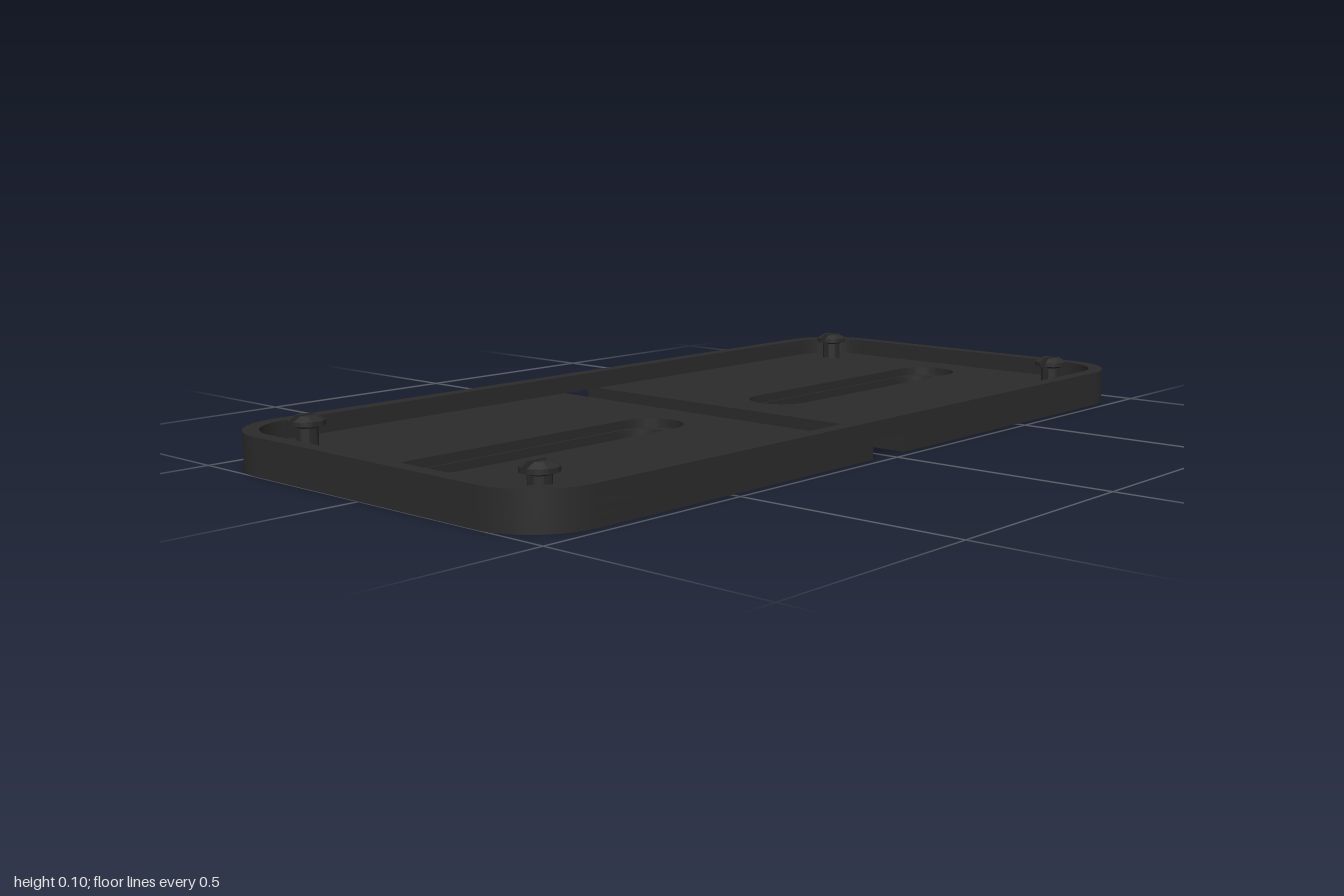
import * as THREE from 'three';
import { toCreasedNormals } from 'three/addons/utils/BufferGeometryUtils.js';

const HALF_X = 1, HALF_Z = 0.478, CORNER = 0.15, WALL = 0.033;
const GAP = 0.055, FLOOR = 0.04, LEDGE = 0.02, TOP = 0.08;

// Rounded rectangle, traced on a Shape or Path
function roundedRect(path, hx, hz, r) {
  path.moveTo(hx, -hz + r);
  path.lineTo(hx, hz - r);
  path.absarc(hx - r, hz - r, r, 0, Math.PI / 2);
  path.lineTo(-hx + r, hz);
  path.absarc(-hx + r, hz - r, r, Math.PI / 2, Math.PI);
  path.lineTo(-hx, -hz + r);
  path.absarc(-hx + r, -hz + r, r, Math.PI, Math.PI * 1.5);
  path.lineTo(hx - r, -hz);
  path.absarc(hx - r, -hz + r, r, Math.PI * 1.5, Math.PI * 2);
  return path;
}

// One half of the plate outline, with a long round-ended slot
function halfPlate(slotStart, slotEnd, slotRadius) {
  const s = new THREE.Shape();
  s.moveTo(GAP, -HALF_Z);
  s.lineTo(HALF_X - CORNER, -HALF_Z);
  s.absarc(HALF_X - CORNER, -HALF_Z + CORNER, CORNER, -Math.PI / 2, 0);
  s.lineTo(HALF_X, HALF_Z - CORNER);
  s.absarc(HALF_X - CORNER, HALF_Z - CORNER, CORNER, 0, Math.PI / 2);
  s.lineTo(GAP, HALF_Z);
  s.closePath();
  const hole = new THREE.Path();
  const a = slotStart + slotRadius, b = slotEnd - slotRadius;
  hole.moveTo(a, -slotRadius);
  hole.lineTo(b, -slotRadius);
  hole.absarc(b, 0, slotRadius, -Math.PI / 2, Math.PI / 2);
  hole.lineTo(a, slotRadius);
  hole.absarc(a, 0, slotRadius, Math.PI / 2, Math.PI * 1.5);
  s.holes.push(hole);
  return s;
}

// Stands a flat outline up as a slab between two heights
function slab(shape, y0, y1) {
  const g = new THREE.ExtrudeGeometry(shape, { depth: y1 - y0, bevelEnabled: false, curveSegments: 16 });
  g.rotateX(-Math.PI / 2).translate(0, y0, 0);
  return toCreasedNormals(g, 0.5);
}

export function createModel() {
  const model = new THREE.Group();
  model.name = 'mountingPlate';
  const plastic = new THREE.MeshStandardMaterial({ color: 0x2b2b2b });
  plastic.name = 'blackPlastic';

  const add = (parent, geometry, name) => {
    const mesh = new THREE.Mesh(geometry, plastic);
    mesh.name = name;
    parent.add(mesh);
    return mesh;
  };

  // Raised rim, bridging the centre gap
  const rim = roundedRect(new THREE.Shape(), HALF_X, HALF_Z, CORNER);
  rim.holes.push(roundedRect(new THREE.Path(), HALF_X - WALL, HALF_Z - WALL, CORNER - WALL));
  add(model, slab(rim, FLOOR, TOP), 'rim');

  // Two floor halves; each slot is recessed around its ends
  const lower = slab(halfPlate(0.18, 0.86, 0.07), 0, LEDGE);
  const upper = slab(halfPlate(0.15, 0.89, 0.075), LEDGE, FLOOR);
  for (const side of ['left', 'right']) {
    const half = new THREE.Group();
    half.name = side + 'Floor';
    half.rotation.y = side === 'left' ? 0 : Math.PI;
    add(half, lower, 'slottedBase');
    add(half, upper, 'slotRecess');
    model.add(half);
  }

  // Split snap pin: half a turned profile, cut flat beside the split
  const split = 0.0075;
  const profile = [
    [0.023, FLOOR], [0.023, 0.08], [0.038, 0.085], [0.038, 0.095], [0.021, 0.105], [0, 0.105],
  ].map(([r, y]) => new THREE.Vector2(r, y));
  const turned = new THREE.LatheGeometry(profile, 24, -Math.PI / 2, Math.PI);
  const pos = turned.attributes.position;
  for (let i = 0; i < pos.count; i++) pos.setZ(i, Math.max(pos.getZ(i), split));
  const prong = toCreasedNormals(turned, 0.4);
  const mirrored = profile.slice(0, -1).reverse().map((p) => new THREE.Vector2(-p.x, p.y));
  const flat = new THREE.ShapeGeometry(new THREE.Shape([...profile.slice(0, -1), ...mirrored]));
  flat.rotateY(Math.PI).translate(0, 0, split);

  for (const x of [-0.865, 0.865]) {
    for (const z of [-0.347, 0.347]) {
      const pin = new THREE.Group();
      pin.name = 'snapPin';
      pin.position.set(x, 0, z);
      for (const turn of [0, Math.PI]) {
        add(pin, prong, 'prong').rotation.y = turn;
        add(pin, flat, 'prongFlat').rotation.y = turn;
      }
      model.add(pin);
    }
  }
  return model;
}
